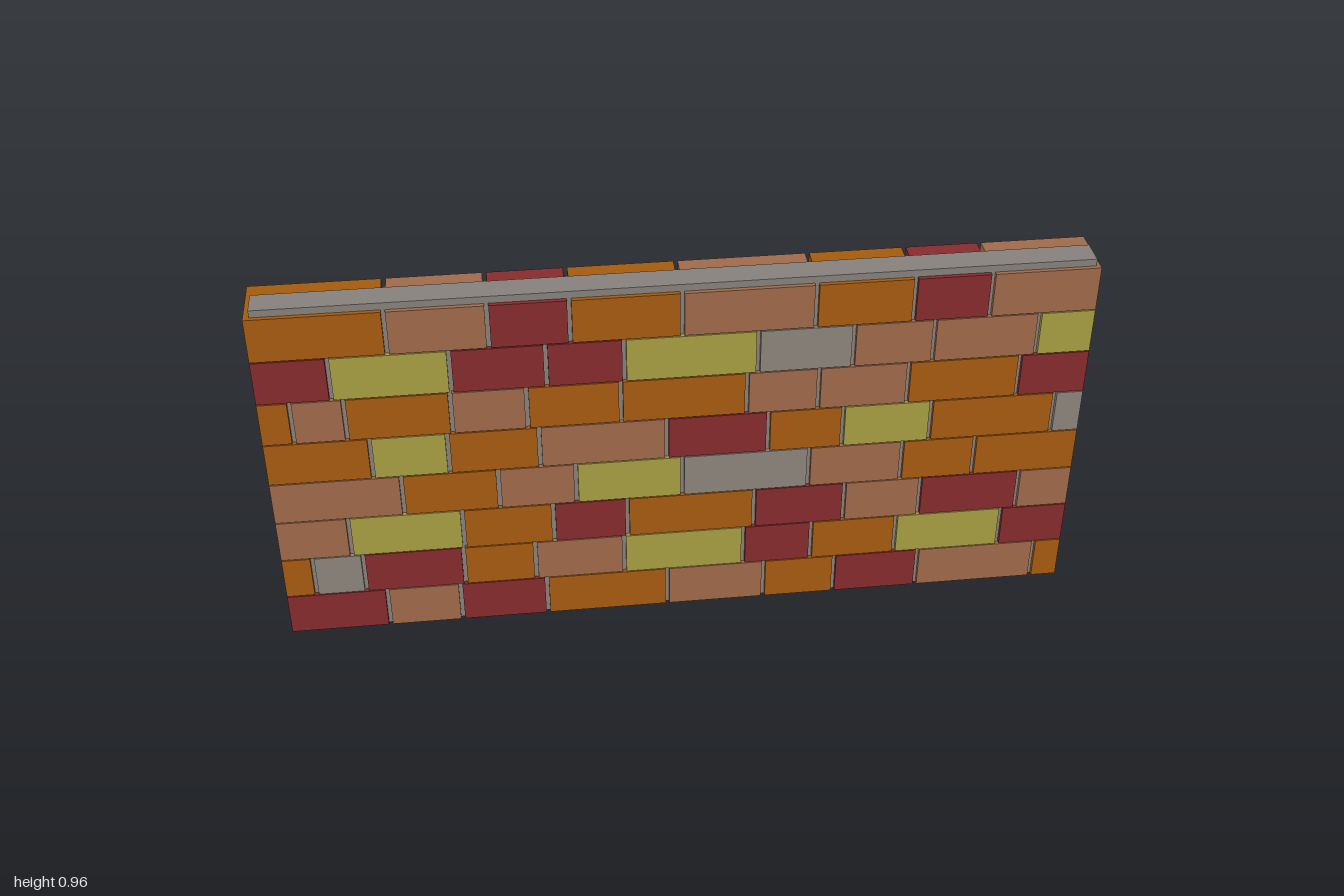
import * as THREE from 'three';

const COLORS = {
  R: ['redBrick', 0x872b2c],
  O: ['orangeBrick', 0xa55b0f],
  B: ['brownBrick', 0xa06a4b],
  Y: ['yellowBrick', 0xa79d40],
  G: ['greyBrick', 0x8c847c],
};

// Vertical joint positions; the bond repeats every four courses
const JOINTS = [
  [-1, -0.75, -0.565, -0.345, -0.035, 0.215, 0.4, 0.62, 0.93, 1],
  [-1, -0.925, -0.8, -0.55, -0.37, -0.145, 0.16, 0.335, 0.555, 0.83, 1],
  [-1, -0.825, -0.545, -0.32, -0.135, 0.185, 0.415, 0.61, 0.865, 1],
  [-1, -0.685, -0.45, -0.26, 0.003, 0.32, 0.555, 0.74, 1],
];

// Brick colours per course, bottom to top
const COURSES = [
  'RBROBORBO', 'OGROBYROYR', 'BYORORBRB', 'BOBYGBOO',
  'OYOBROYOG', 'OBOBOOBBOR', 'RYRRYGBBY', 'OBROBORB',
];

const PITCH = 0.1178, HEIGHT = 0.115, DEPTH = 0.15, GAP = 0.01;

export function createModel() {
  const wall = new THREE.Group();
  wall.name = 'brickWall';

  const materials = {};
  for (const key in COLORS) {
    materials[key] = new THREE.MeshStandardMaterial({ color: COLORS[key][1] });
  }

  // Full-depth bricks, one group per course
  COURSES.forEach((pattern, row) => {
    const course = new THREE.Group();
    course.name = `course${row + 1}`;
    course.position.y = row * PITCH + HEIGHT / 2 + 0.002;
    const joints = JOINTS[row % 4];
    [...pattern].forEach((key, i) => {
      // Half a joint on each inner side, flush at the wall ends
      const x0 = joints[i] + (i > 0 ? GAP / 2 : 0);
      const x1 = joints[i + 1] - (i < pattern.length - 1 ? GAP / 2 : 0);
      const brick = new THREE.Mesh(new THREE.BoxGeometry(x1 - x0, HEIGHT, DEPTH), materials[key]);
      brick.name = COLORS[key][0];
      brick.position.x = (x0 + x1) / 2;
      course.add(brick);
    });
    wall.add(course);
  });

  // Mortar slab inside the wall, nearer the front, standing proud of the top
  const mortar = new THREE.Mesh(
    new THREE.BoxGeometry(1.976, 0.96, 0.068),
    new THREE.MeshStandardMaterial({ color: 0x86817b })
  );
  mortar.name = 'mortarCore';
  mortar.position.set(0.002, 0.48, 0.03);
  wall.add(mortar);

  return wall;
}
